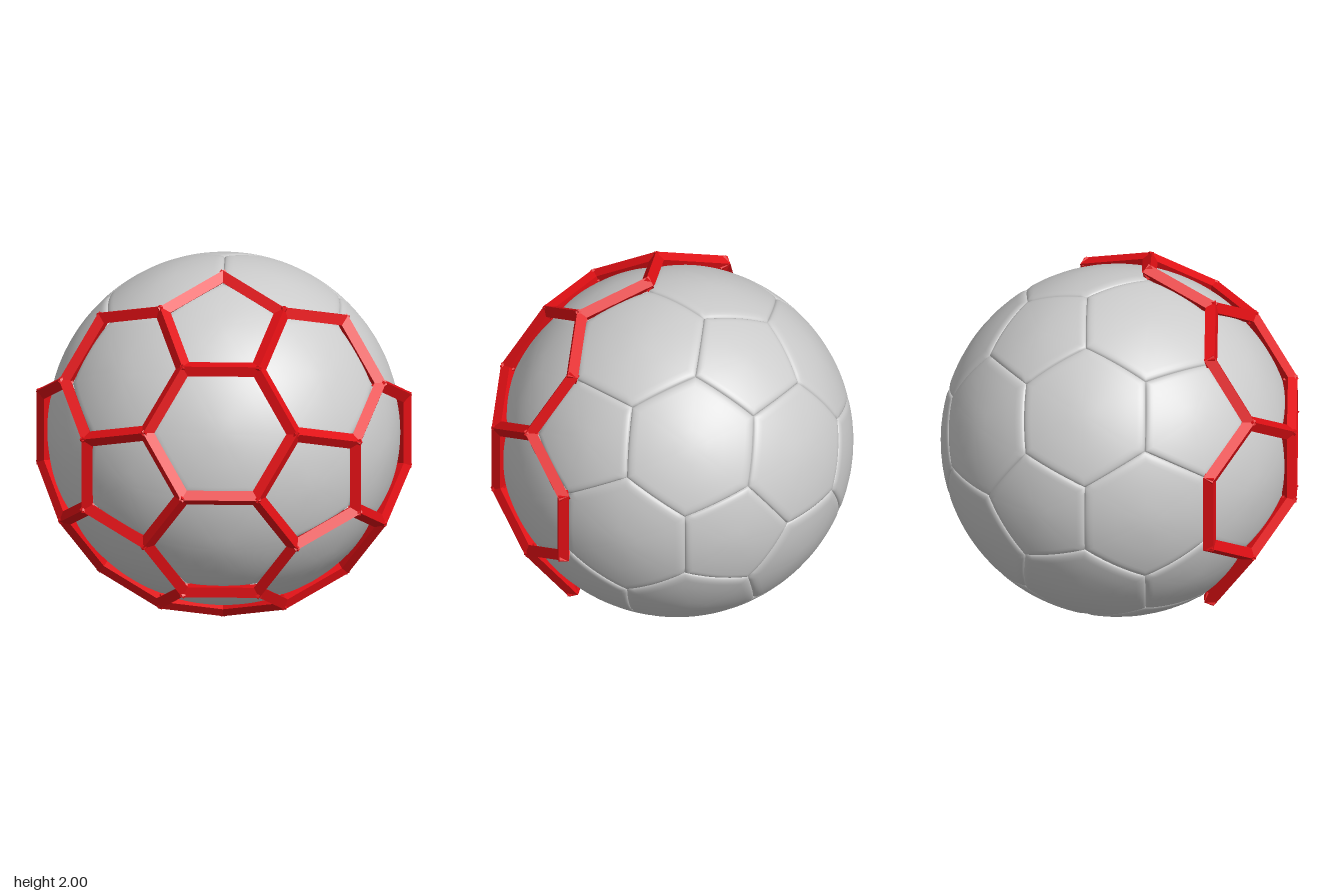
import * as THREE from 'three';
import { mergeVertices } from 'three/addons/utils/BufferGeometryUtils.js';

const CENTER = new THREE.Vector3(0, 0.97, -0.03);
const R = 0.9375;        // ball radius
const CAGE_R = 0.975;    // radius of the cage corners
const GROOVE = 0.016;    // seam depth

// Icosahedron corners, with an edge facing the front
function icosaCorners() {
  const p = (1 + Math.sqrt(5)) / 2, out = [];
  for (const s of [1, -1]) for (const t of [p, -p]) {
    out.push(new THREE.Vector3(s, 0, t), new THREE.Vector3(0, t, s), new THREE.Vector3(t, s, 0));
  }
  return out;
}

// Pentagon and hexagon panels of a truncated icosahedron, corners counter-clockwise
function makePanels() {
  const V = icosaCorners(), panels = [];
  const near = (a, b) => a !== b && a.distanceTo(b) < 2.1;
  const cut = (a, b) => a.clone().multiplyScalar(2).add(b).normalize();
  const add = (name, center, corners) => {
    const c = center.clone().normalize();
    const u = corners[0].clone().addScaledVector(c, -corners[0].dot(c)).normalize();
    const v = c.clone().cross(u);
    const angle = (q) => Math.atan2(q.dot(v), q.dot(u));
    panels.push({ name, center: c, corners: corners.sort((a, b) => angle(a) - angle(b)) });
  };
  V.forEach((a, i) => {
    add('pentagonPanel', a, V.filter((b) => near(a, b)).map((b) => cut(a, b)));
    for (let j = i + 1; j < V.length; j++) for (let k = j + 1; k < V.length; k++) {
      const b = V[j], c = V[k];
      if (!near(a, b) || !near(b, c) || !near(a, c)) continue;
      add('hexagonPanel', a.clone().add(b).add(c),
        [cut(a, b), cut(b, a), cut(b, c), cut(c, b), cut(c, a), cut(a, c)]);
    }
  });
  return panels;
}

// Spherical panel in concentric rings, rounded down into the seam at its rim
function panelGeometry({ center, corners }) {
  const rings = [0.25, 0.5, 0.7, 0.85, 0.9, 0.94, 0.97, 0.99, 1], steps = 10;
  const n = corners.length * steps, pos = [], index = [];
  const put = (q, r) => { q.normalize().multiplyScalar(r); pos.push(q.x, q.y, q.z); };
  put(center.clone(), R);
  for (const t of rings) {
    const u = Math.max(0, (t - 0.88) / 0.12);
    const r = R - GROOVE * (1 - Math.sqrt(1 - u * u));
    corners.forEach((a, i) => {
      const b = corners[(i + 1) % corners.length];
      for (let s = 0; s < steps; s++) {
        const rim = a.clone().lerp(b, s / steps).normalize();
        put(center.clone().lerp(rim, t), r);
      }
    });
  }
  for (let k = 0; k < rings.length; k++) for (let i = 0; i < n; i++) {
    const j = (i + 1) % n, a = 1 + k * n + i, b = 1 + k * n + j;
    if (k === 0) index.push(0, a, b);
    else index.push(a - n, a, b, a - n, b, b - n);
  }
  const g = new THREE.BufferGeometry();
  g.setAttribute('position', new THREE.Float32BufferAttribute(pos, 3));
  g.setIndex(index);
  const merged = mergeVertices(g);
  merged.computeVertexNormals();
  return merged;
}

// Straight four-sided bar along one seam, with a ridge facing outwards
function makeBar(a, b, material) {
  const p = a.clone().multiplyScalar(CAGE_R), q = b.clone().multiplyScalar(CAGE_R);
  const y = q.clone().sub(p), length = y.length() + 0.04;
  y.normalize();
  const mid = p.add(q).multiplyScalar(0.5);
  const z = mid.clone().normalize(), x = y.clone().cross(z);
  const bar = new THREE.Mesh(new THREE.CylinderGeometry(0.04, 0.04, length, 4), material);
  bar.quaternion.setFromRotationMatrix(new THREE.Matrix4().makeBasis(x, y, z));
  bar.position.copy(mid);
  bar.name = 'cageBar';
  return bar;
}

export function createModel() {
  const model = new THREE.Group();
  model.name = 'cagedBall';
  const grey = new THREE.MeshStandardMaterial({ color: 0xcccccc });
  const red = new THREE.MeshStandardMaterial({ color: 0xe00f14, flatShading: true });

  const ball = new THREE.Group(), cage = new THREE.Group();
  ball.name = 'ball';
  cage.name = 'frontCage';
  ball.position.copy(CENTER);
  cage.position.copy(CENTER);
  model.add(ball, cage);

  const done = new Set();
  for (const panel of makePanels()) {
    const mesh = new THREE.Mesh(panelGeometry(panel), grey);
    mesh.name = panel.name;
    ball.add(mesh);

    // One bar per seam on the front half
    panel.corners.forEach((a, i) => {
      const b = panel.corners[(i + 1) % panel.corners.length];
      if (Math.min(a.z, b.z) < -0.01) return;
      const key = a.clone().add(b).toArray().map((v) => Math.round(v * 100) + 0).join();
      if (done.has(key)) return;
      done.add(key);
      cage.add(makeBar(a, b, red));
    });
  }
  return model;
}
